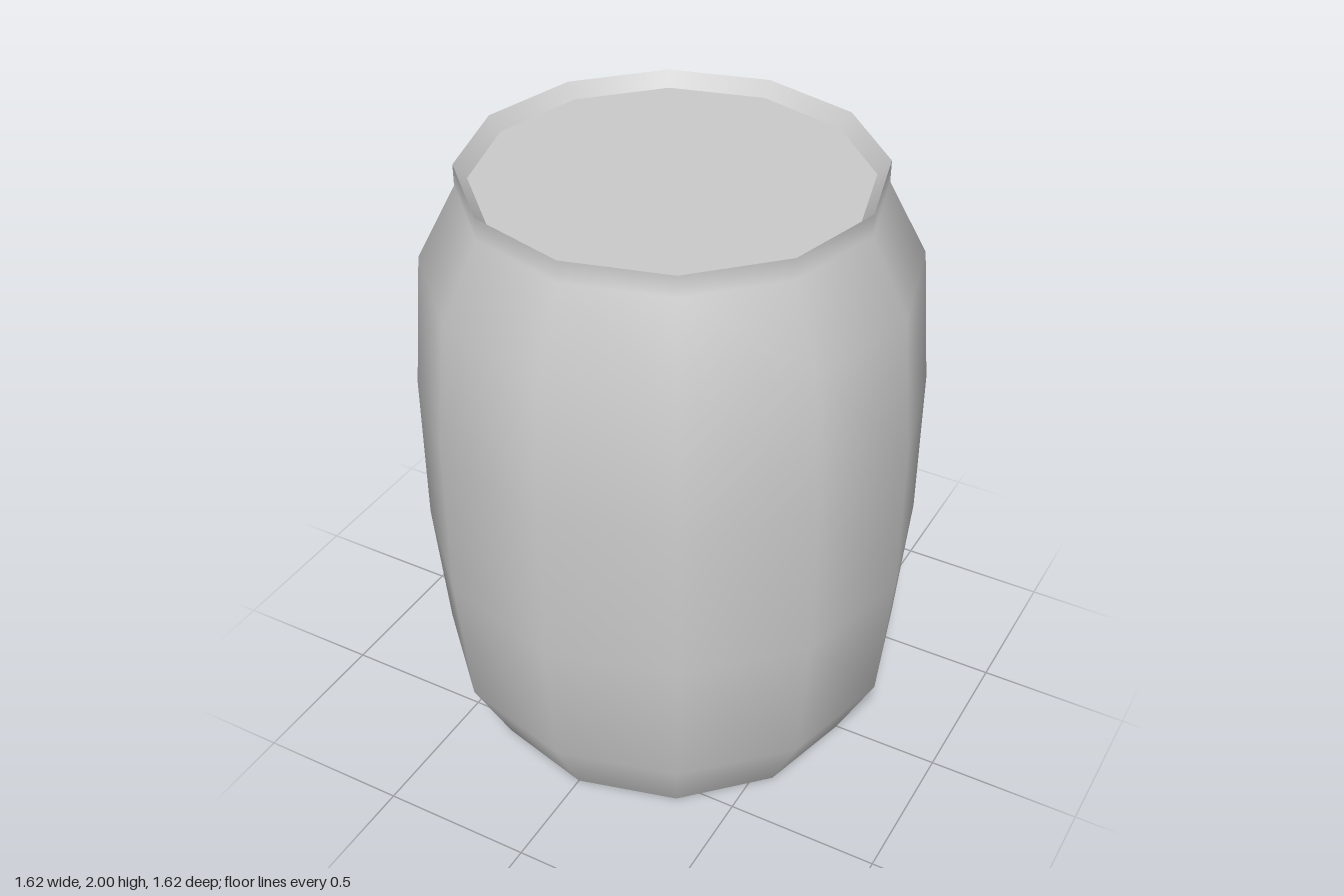
import * as THREE from 'three';

const SIDES = 12;

export function createModel() {
  const group = new THREE.Group();
  group.name = 'barrel';
  const material = new THREE.MeshStandardMaterial({ color: 0xcccccc });

  // Each part is a 12-sided turned profile; separate parts keep the rims sharp
  const turn = (name, profile) => {
    const points = profile.map(([r, y]) => new THREE.Vector2(r, y));
    const mesh = new THREE.Mesh(new THREE.LatheGeometry(points, SIDES), material);
    mesh.name = name;
    group.add(mesh);
  };

  // Bulging staves with a short upright neck
  turn('body', [
    [0.645, 0], [0.77, 0.245], [0.81, 0.71], [0.81, 1.23],
    [0.77, 1.69], [0.645, 1.93], [0.645, 2],
  ]);
  // Sloped inner wall of the rim
  turn('innerRim', [[0.645, 2], [0.605, 1.955]]);
  // Recessed lid and flat base
  turn('lid', [[0.605, 1.955], [0, 1.955]]);
  turn('base', [[0, 0], [0.645, 0]]);

  return group;
}
